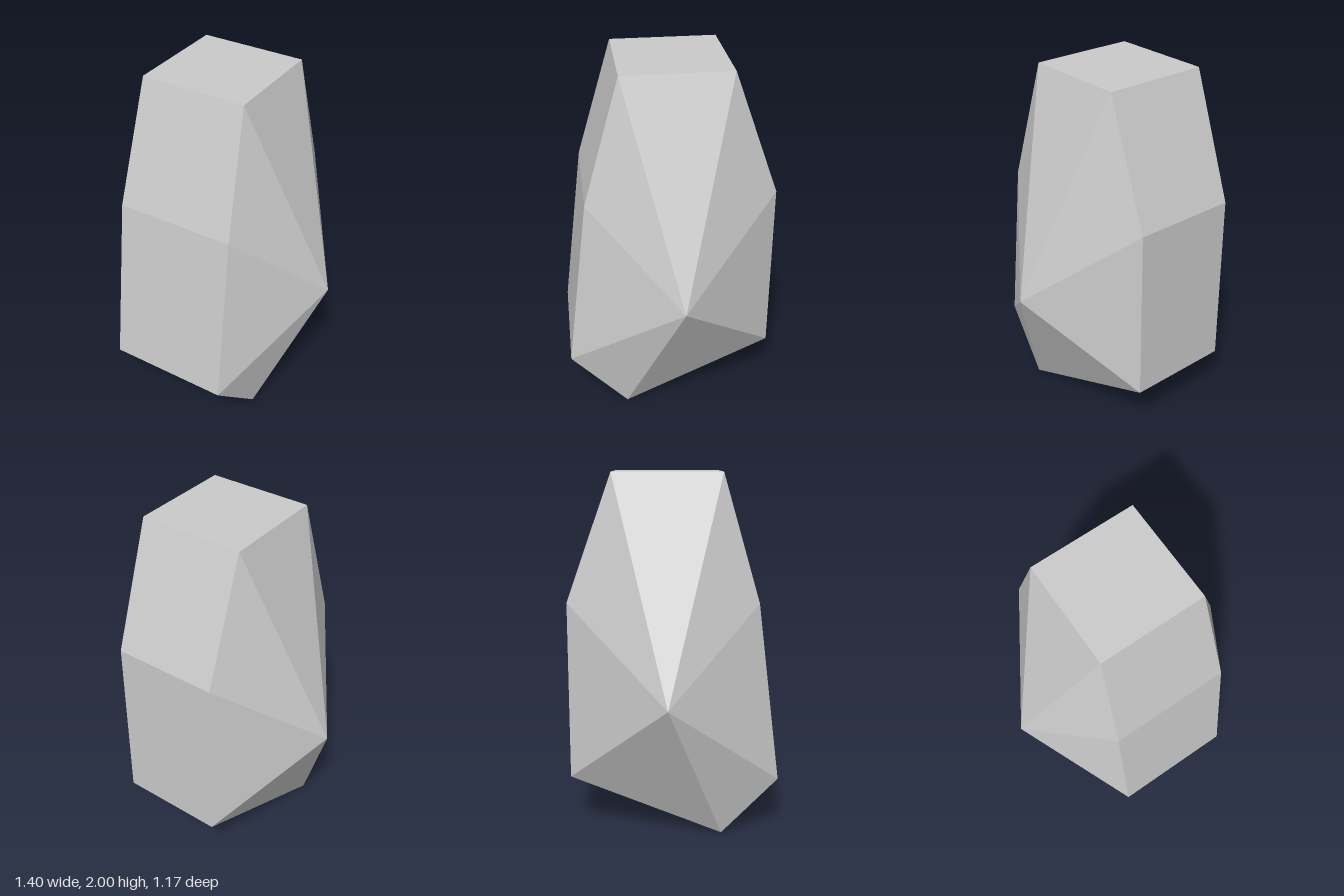
import * as THREE from 'three';

// Side outline as [z, y, half width], from the bottom edge up the front and down the back
const outline = [
  [0.265, 0, 0.4],
  [0.585, 0.3, 0.35],
  [0.465, 1.3, 0.34],
  [0.265, 2, 0.3],
  [-0.335, 2, 0.3],
  [-0.585, 1.3, 0.3],
  [-0.585, 0.3, 0.3],
];
const apex = { x: 0.7, y: 0.8, z: -0.035 };

function meshFrom(name, positions, material) {
  const geometry = new THREE.BufferGeometry();
  geometry.setAttribute('position', new THREE.Float32BufferAttribute(positions, 3));
  geometry.computeVertexNormals();
  const mesh = new THREE.Mesh(geometry, material);
  mesh.name = name;
  return mesh;
}

export function createModel() {
  const group = new THREE.Group();
  group.name = 'facetedStone';
  const material = new THREE.MeshStandardMaterial({ color: 0xcccccc, flatShading: true });

  const band = [], left = [], right = [];
  outline.forEach(([z, y, w], i) => {
    const [z2, y2, w2] = outline[(i + 1) % outline.length];
    const la = [w, y, z], lb = [w2, y2, z2];
    const ra = [-w, y, z], rb = [-w2, y2, z2];
    // One facet of the band around the middle
    band.push(...la, ...lb, ...rb, ...la, ...rb, ...ra);
    // One facet of each side point
    left.push(apex.x, apex.y, apex.z, ...lb, ...la);
    right.push(-apex.x, apex.y, apex.z, ...ra, ...rb);
  });

  group.add(
    meshFrom('middleBand', band, material),
    meshFrom('leftSide', left, material),
    meshFrom('rightSide', right, material),
  );
  return group;
}
